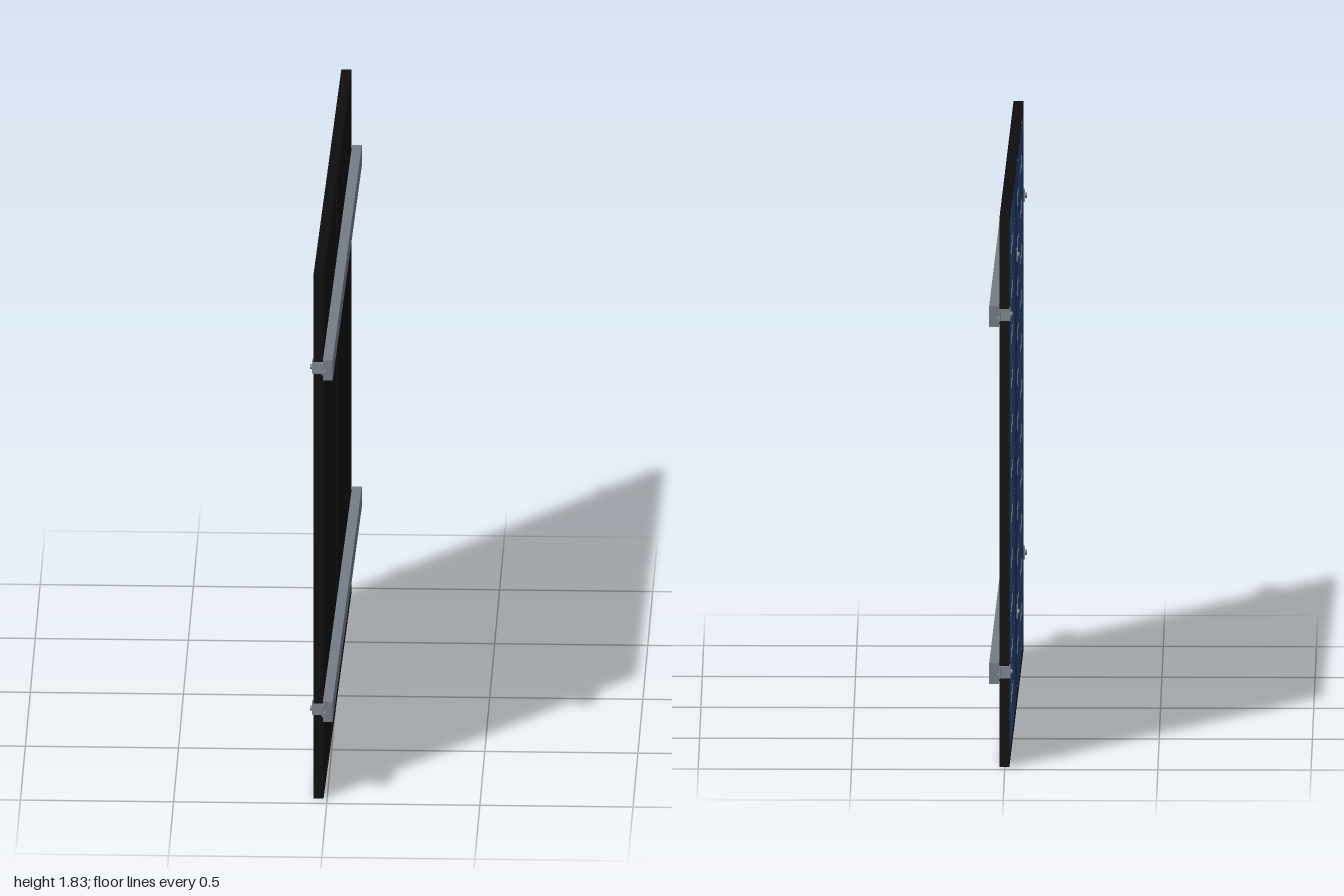
import * as THREE from 'three';
import { mergeGeometries } from 'three/addons/utils/BufferGeometryUtils.js';

const material = (name, color) => {
  const m = new THREE.MeshStandardMaterial({ color });
  m.name = name;
  return m;
};

export function createModel() {
  const frameBlack = material('frame black', 0x0e0e0e);
  const cellBlue = material('cell blue', 0x22427a);
  const sheetWhite = material('backing sheet white', 0xd8d8d8);
  const busbarTeal = material('busbar teal', 0x3a7c9c);
  const railGrey = material('rail grey', 0x747c87);
  const clampGrey = material('clamp grey', 0x7f868f);

  // Working frame: x runs along the rails, y is up, z points out of the cells
  const array = new THREE.Group();
  array.name = 'solarArray';

  const add = (parent, name, geometry, mat, x = 0, y = 0, z = 0) => {
    const mesh = new THREE.Mesh(geometry, mat);
    mesh.name = name;
    mesh.position.set(x, y, z);
    parent.add(mesh);
    return mesh;
  };
  const box = (w, h, d, x = 0, y = 0, z = 0) => new THREE.BoxGeometry(w, h, d).translate(x, y, z);
  const polygon = (points) => new THREE.Shape(points.map(([x, y]) => new THREE.Vector2(x, y)));
  const rectangle = (w, h) => [[-w / 2, -h / 2], [w / 2, -h / 2], [w / 2, h / 2], [-w / 2, h / 2]];

  const W = 0.94, H = 1.825, LIP = 0.016, COLS = 6, ROWS = 12;
  const innerW = W - 2 * LIP, innerH = H - 2 * LIP;
  const stepX = innerW / COLS, stepY = innerH / ROWS;

  // Open rectangular frame
  const frameShape = polygon(rectangle(W, H));
  frameShape.holes.push(new THREE.Path(polygon(rectangle(innerW, innerH)).getPoints().reverse()));
  const frameGeometry = new THREE.ExtrudeGeometry(frameShape, { depth: 0.033, bevelEnabled: false });
  frameGeometry.translate(0, 0, -0.003);

  // One cell is a square with cut corners
  const a = stepX / 2 - 0.001, b = stepY / 2 - 0.001, c = 0.024;
  const cell = new THREE.ShapeGeometry(polygon([
    [-a + c, -b], [a - c, -b], [a, -b + c], [a, b - c],
    [a - c, b], [-a + c, b], [-a, b - c], [-a, -b + c],
  ]));
  const cells = [], busbars = [];
  for (let i = 0; i < COLS; i++) {
    const x = (i - (COLS - 1) / 2) * stepX;
    for (let j = 0; j < ROWS; j++) {
      cells.push(cell.clone().translate(x, (j - (ROWS - 1) / 2) * stepY, 0.028));
    }
    for (const s of [-1, 1]) {
      busbars.push(new THREE.PlaneGeometry(0.003, innerH).translate(x + s * stepX * 0.27, 0, 0.029));
    }
  }
  const cellGeometry = mergeGeometries(cells);
  const busbarGeometry = mergeGeometries(busbars);

  // Two panels side by side
  for (const side of [-1, 1]) {
    const panel = new THREE.Group();
    panel.name = side > 0 ? 'frontPanel' : 'backPanel';
    panel.position.set(side * 0.484, H / 2, 0);
    add(panel, 'frame', frameGeometry, frameBlack);
    add(panel, 'rearCover', box(innerW, innerH, 0.022), frameBlack, 0, 0, 0.011);
    add(panel, 'backingSheet', box(innerW, innerH, 0.004), sheetWhite, 0, 0, 0.024);
    add(panel, 'cells', cellGeometry, cellBlue);
    add(panel, 'busbars', busbarGeometry, busbarTeal);
    array.add(panel);
  }

  // Rail section: a bar with a narrow slot on the panel side
  const railGeometry = new THREE.ExtrudeGeometry(polygon([
    [-0.035, -0.035], [-0.003, -0.035], [-0.003, -0.007], [-0.012, -0.007],
    [-0.012, 0.007], [-0.003, 0.007], [-0.003, 0.035], [-0.035, 0.035],
  ]), { depth: 2, bevelEnabled: false });
  // Section x becomes depth, extrusion runs along the rail
  railGeometry.translate(0, 0, -1).rotateY(-Math.PI / 2);

  const bolt = (x) => mergeGeometries([
    new THREE.CylinderGeometry(0.004, 0.004, 0.045, 10).rotateX(Math.PI / 2).translate(x, 0, 0.012),
    new THREE.CylinderGeometry(0.009, 0.009, 0.006, 6).rotateX(Math.PI / 2).translate(x, 0, 0.037),
  ]);
  // Middle clamp: channel in the gap with two wings over the frames
  const midClamp = mergeGeometries([
    box(0.042, 0.04, 0.004, 0, 0, 0.032),
    box(0.003, 0.04, 0.022, -0.01, 0, 0.019),
    box(0.003, 0.04, 0.022, 0.01, 0, 0.019),
  ]);
  // End clamp: lip over the frame, web, and foot on the rail
  const endClamp = mergeGeometries([
    box(0.03, 0.04, 0.004, 0.962, 0, 0.032),
    box(0.003, 0.04, 0.034, 0.978, 0, 0.014),
    box(0.018, 0.04, 0.004, 0.986, 0, -0.001),
  ]);

  for (const [label, y] of [['lower', 0.32], ['upper', 1.51]]) {
    add(array, label + 'Rail', railGeometry, railGrey, 0, y);
    add(array, label + 'MiddleClamp', midClamp, clampGrey, 0, y);
    add(array, label + 'MiddleBolt', bolt(0), railGrey, 0, y);
    for (const side of [-1, 1]) {
      const clamp = new THREE.Group();
      clamp.name = label + (side > 0 ? 'FrontEndClamp' : 'BackEndClamp');
      clamp.position.y = y;
      // A half turn about z mirrors the symmetric clamp to the other end
      if (side < 0) clamp.rotation.z = Math.PI;
      add(clamp, 'bracket', endClamp, clampGrey);
      add(clamp, 'bolt', bolt(0.966), railGrey);
      array.add(clamp);
    }
  }

  // Cells face -x, with the whole array turned slightly
  array.rotation.y = -Math.PI / 2 - 0.0155;
  const model = new THREE.Group();
  model.name = 'solarPanels';
  model.add(array);
  return model;
}
